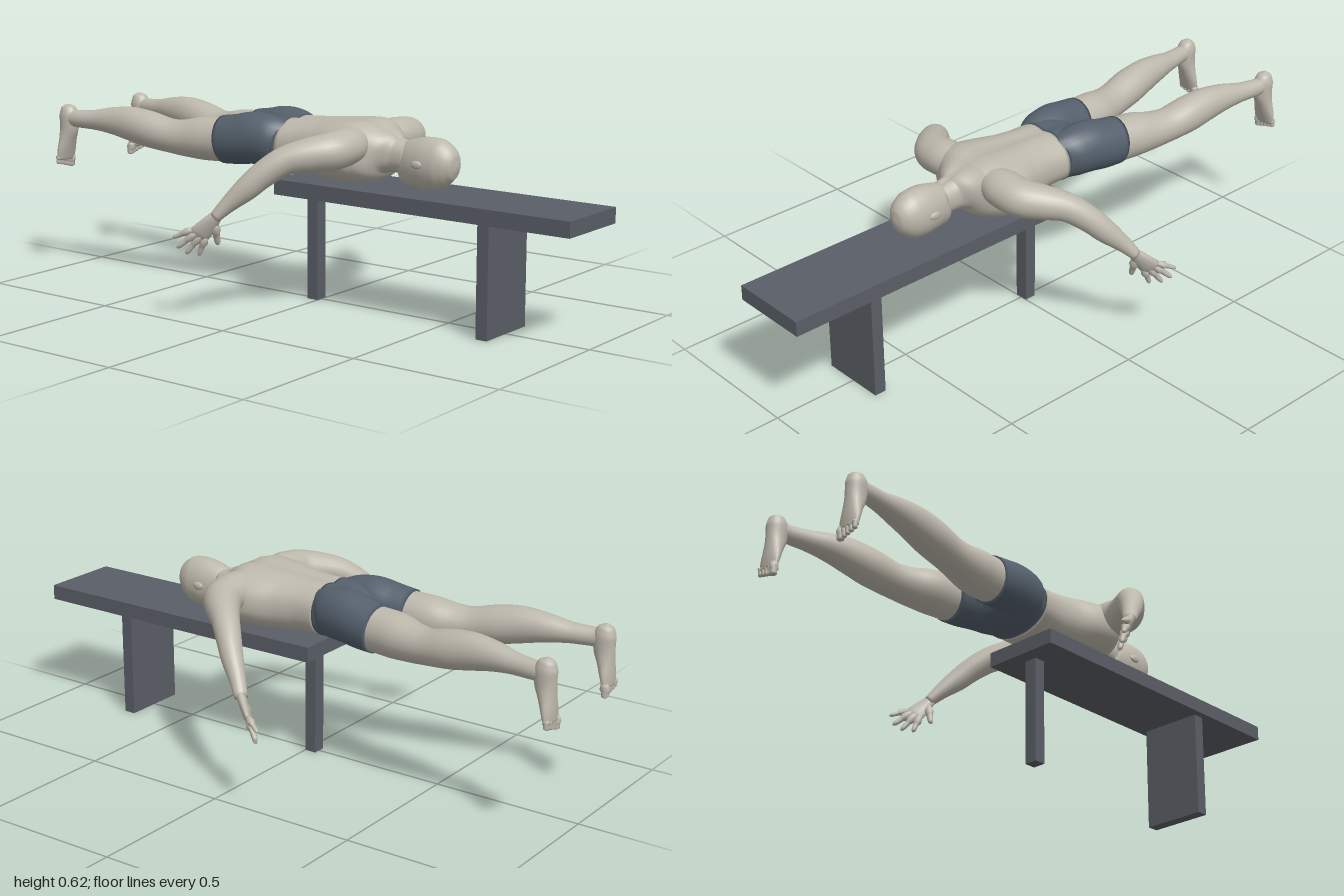
import * as THREE from 'three';

const skin = new THREE.MeshStandardMaterial({ color: 0xbdb8ac });
skin.name = 'skin';
const cloth = new THREE.MeshStandardMaterial({ color: 0x54606c });
cloth.name = 'shorts cloth';
const benchPaint = new THREE.MeshStandardMaterial({ color: 0x5a5e66 });
benchPaint.name = 'bench paint';

// Smooth closed loft; each section is [x, y, z, half width, half height]
function loft(name, material, sections, { ref = [0, 1, 0], sides = 24, steps = 5, shape } = {}) {
  const path = new THREE.CatmullRomCurve3(sections.map(s => new THREE.Vector3(s[0], s[1], s[2])));
  const size = new THREE.CatmullRomCurve3(sections.map(s => new THREE.Vector3(s[3], s[4], 0)));
  const rings = (sections.length - 1) * steps;
  const refDir = new THREE.Vector3(...ref);
  const pos = [], index = [];
  for (let i = 0; i <= rings; i++) {
    const p = path.getPoint(i / rings), r = size.getPoint(i / rings), t = path.getTangent(i / rings);
    const side = new THREE.Vector3().crossVectors(refDir, t).normalize();
    const up = new THREE.Vector3().crossVectors(t, side);
    for (let j = 0; j < sides; j++) {
      const a = (j / sides) * Math.PI * 2;
      let c = Math.cos(a), s = Math.sin(a);
      if (shape) [c, s] = shape(c, s);
      const v = p.clone().addScaledVector(side, c * r.x).addScaledVector(up, s * r.y);
      pos.push(v.x, v.y, v.z);
    }
  }
  const c0 = pos.length / 3, c1 = c0 + 1;
  pos.push(...path.getPoint(0).toArray(), ...path.getPoint(1).toArray());
  for (let j = 0; j < sides; j++) {
    const k = (j + 1) % sides, last = rings * sides;
    for (let i = 0; i < rings; i++) {
      const a = i * sides, b = a + sides;
      index.push(a + j, a + k, b + k, a + j, b + k, b + j);
    }
    index.push(c0, k, j, c1, last + j, last + k);
  }
  const geo = new THREE.BufferGeometry();
  geo.setAttribute('position', new THREE.Float32BufferAttribute(pos, 3));
  geo.setIndex(index);
  geo.computeVertexNormals();
  const mesh = new THREE.Mesh(geo, material);
  mesh.name = name;
  return mesh;
}

function box(name, w, y0, y1, z0, z1) {
  const mesh = new THREE.Mesh(new THREE.BoxGeometry(w, y1 - y0, z1 - z0), benchPaint);
  mesh.position.set(0, (y0 + y1) / 2, (z0 + z1) / 2);
  mesh.name = name;
  return mesh;
}

function ellipsoid(name, at, radii) {
  const mesh = new THREE.Mesh(new THREE.SphereGeometry(1, 16, 12), skin);
  mesh.position.set(...at);
  mesh.scale.set(...radii);
  mesh.name = name;
  return mesh;
}

// Fuller outline with a groove along the spine
const backShape = (c, s) => {
  const full = Math.sign(s) * Math.abs(s) ** 0.85;
  return [c, s > 0 ? full * (1 - 0.12 * Math.exp(-((c / 0.2) ** 2))) : full];
};

function arm(s) {
  const g = new THREE.Group();
  g.name = s > 0 ? 'leftArm' : 'rightArm';
  const flip = list => list.map(([x, ...rest]) => [x * s, ...rest]);
  g.add(loft('armLimb', skin, flip([
    [0.07, 0.55, 0.2, 0.05, 0.05], [0.14, 0.545, 0.2, 0.066, 0.06], [0.2, 0.538, 0.192, 0.064, 0.06],
    [0.255, 0.53, 0.152, 0.056, 0.055], [0.31, 0.514, 0.098, 0.045, 0.046], [0.355, 0.475, 0.05, 0.04, 0.042],
    [0.39, 0.43, 0.01, 0.035, 0.038], [0.425, 0.378, -0.038, 0.026, 0.026], [0.45, 0.338, -0.07, 0.021, 0.018],
  ])));
  // Hand: flat palm, four spread fingers and a thumb
  const ref = [0.66 * s, -0.29, 0.7];
  g.add(loft('palm', skin, flip([
    [0.445, 0.345, -0.064, 0.019, 0.015], [0.457, 0.318, -0.085, 0.028, 0.014],
    [0.47, 0.288, -0.11, 0.034, 0.012], [0.476, 0.272, -0.122, 0.026, 0.006],
  ]), { ref, sides: 16 }));
  const tips = [[0.457, 0.212, -0.13], [0.488, 0.219, -0.155], [0.511, 0.24, -0.172], [0.517, 0.272, -0.183]];
  const finger = (name, a, b, r) => {
    const at = (t, k) => [...a.map((v, i) => v + (b[i] - v) * t), r * k, r * k];
    g.add(loft(name, skin, flip([at(0, 1), at(0.5, 1), at(0.9, 0.8), at(1, 0.3)]), { ref, sides: 10, steps: 3 }));
  };
  tips.forEach((tip, i) => finger('finger' + (i + 1),
    [0.455 + 0.012 * i, 0.276 + 0.008 * i, -0.103 - 0.008 * i], tip, i === 3 ? 0.008 : 0.0095));
  finger('thumb', [0.445, 0.318, -0.075], [0.418, 0.245, -0.085], 0.011);
  return g;
}

function leg(s) {
  const g = new THREE.Group();
  g.name = s > 0 ? 'leftLeg' : 'rightLeg';
  const flip = list => list.map(([x, ...rest]) => [x * s, ...rest]);
  g.add(loft('shortsLeg', cloth, flip([
    [0.062, 0.513, -0.1, 0.05, 0.075], [0.073, 0.523, -0.15, 0.072, 0.083], [0.08, 0.525, -0.21, 0.077, 0.086],
    [0.088, 0.516, -0.27, 0.076, 0.083], [0.092, 0.51, -0.33, 0.074, 0.08],
  ])));
  g.add(loft('legLimb', skin, flip([
    [0.091, 0.51, -0.3, 0.068, 0.074], [0.1, 0.507, -0.4, 0.072, 0.073], [0.116, 0.503, -0.48, 0.063, 0.062],
    [0.127, 0.506, -0.54, 0.059, 0.057], [0.138, 0.52, -0.62, 0.06, 0.061], [0.147, 0.533, -0.7, 0.053, 0.058],
    [0.156, 0.537, -0.78, 0.044, 0.046], [0.168, 0.534, -0.86, 0.033, 0.033], [0.178, 0.533, -0.925, 0.028, 0.03],
    [0.18, 0.533, -0.955, 0.026, 0.03],
  ])));
  // Foot hanging down with the sole facing back
  g.add(loft('foot', skin, flip([
    [0.18, 0.58, -0.968, 0.008, 0.008], [0.18, 0.57, -0.967, 0.023, 0.025], [0.18, 0.54, -0.963, 0.031, 0.036],
    [0.18, 0.5, -0.964, 0.03, 0.034], [0.18, 0.46, -0.972, 0.034, 0.026], [0.18, 0.42, -0.98, 0.04, 0.019],
    [0.18, 0.388, -0.985, 0.039, 0.013],
  ]), { ref: [0, 0, 1] }));
  for (let i = 0; i < 5; i++) {
    const x = 0.151 + 0.0152 * i, r = i ? 0.0085 : 0.012, end = 0.357 + 0.004 * i;
    g.add(loft('toe' + (i + 1), skin, flip([
      [x, 0.4, -0.985, r, r], [x, end + 0.018, -0.988, r, r], [x, end + 0.004, -0.988, r, r * 0.9],
      [x, end, -0.988, r * 0.4, r * 0.4],
    ]), { ref: [0, 0, 1], sides: 10, steps: 3 }));
  }
  return g;
}

export function createModel() {
  const model = new THREE.Group();
  model.name = 'proneFigureOnBench';

  // Bench
  const bench = new THREE.Group();
  bench.name = 'bench';
  bench.add(box('benchTop', 0.27, 0.36, 0.41, -0.09, 1));
  bench.add(box('frontPanelLeg', 0.22, 0, 0.36, 0.67, 0.71));
  bench.add(box('rearPostLeg', 0.045, 0, 0.36, -0.04, 0));
  model.add(bench);

  // Torso from waist to neck
  model.add(loft('torso', skin, [
    [0, 0.513, -0.1, 0.125, 0.088], [0, 0.513, -0.03, 0.122, 0.092], [0, 0.512, 0.05, 0.136, 0.099],
    [0, 0.514, 0.12, 0.163, 0.103], [0, 0.517, 0.19, 0.178, 0.104], [0, 0.518, 0.235, 0.15, 0.093],
    [0, 0.518, 0.268, 0.088, 0.071], [0, 0.512, 0.3, 0.05, 0.056], [0, 0.508, 0.35, 0.046, 0.05],
  ], { sides: 40, shape: backShape }));

  // Head, face down
  model.add(loft('head', skin, [
    [0, 0.49, 0.32, 0.03, 0.04], [0, 0.488, 0.338, 0.045, 0.066], [0, 0.494, 0.375, 0.055, 0.077],
    [0, 0.498, 0.425, 0.062, 0.083], [0, 0.498, 0.465, 0.06, 0.08], [0, 0.495, 0.497, 0.048, 0.062],
    [0, 0.492, 0.516, 0.03, 0.038], [0, 0.491, 0.523, 0.008, 0.01],
  ], { sides: 28 }));
  model.add(ellipsoid('nose', [0, 0.423, 0.405], [0.011, 0.012, 0.02]));
  for (const s of [-1, 1]) model.add(ellipsoid('ear', [s * 0.061, 0.5, 0.412], [0.007, 0.013, 0.02]));

  // Shorts seat
  model.add(loft('shortsSeat', cloth, [
    [0, 0.513, -0.098, 0.127, 0.09], [0, 0.515, -0.15, 0.128, 0.086],
    [0, 0.512, -0.2, 0.1, 0.075], [0, 0.51, -0.245, 0.05, 0.05],
  ], { sides: 40, shape: backShape }));

  for (const s of [-1, 1]) model.add(arm(s), leg(s));
  return model;
}
